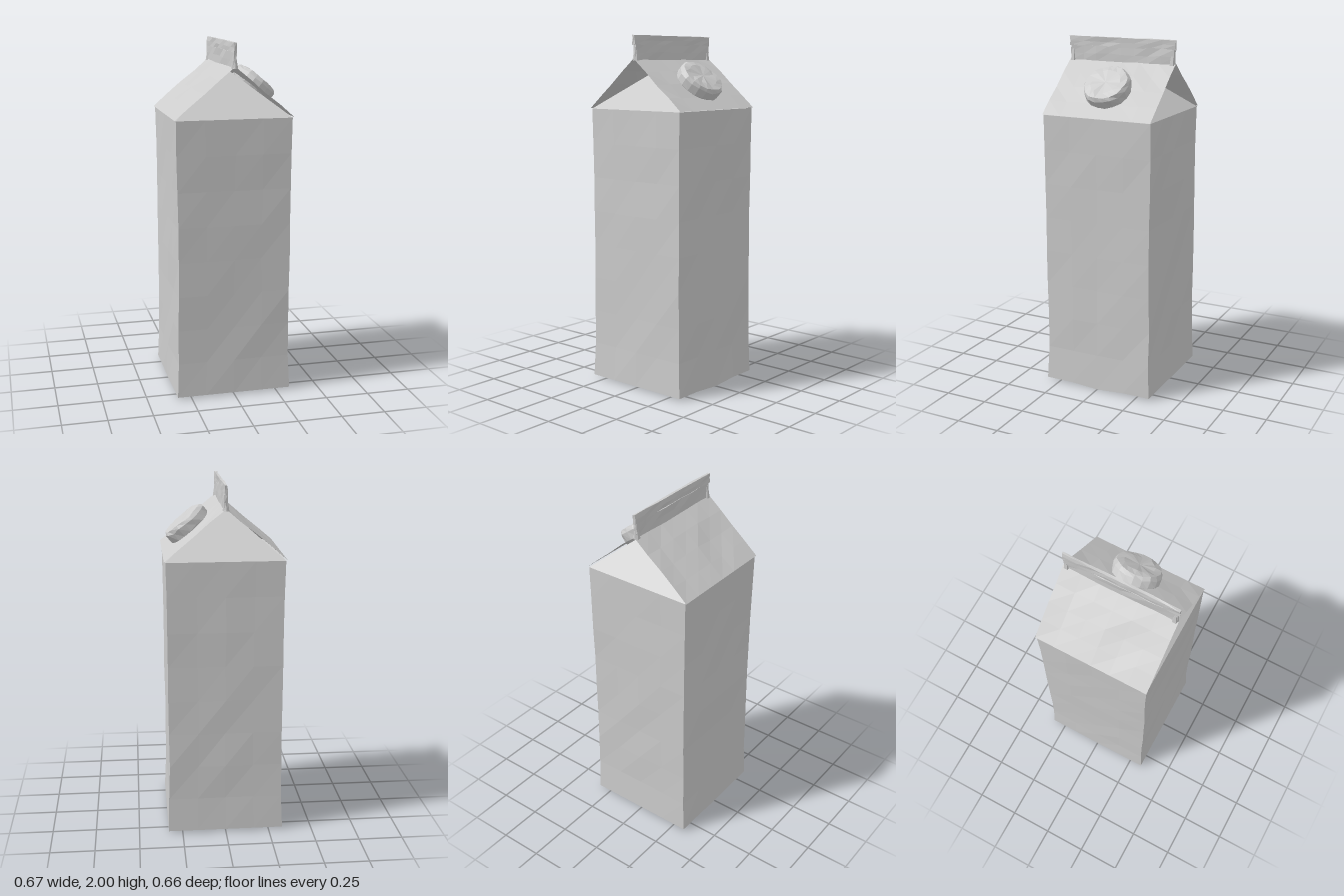
import * as THREE from 'three';

const card = new THREE.MeshStandardMaterial({ color: 0xcccccc, flatShading: true, side: THREE.DoubleSide });
card.name = 'plain grey card';

const EAVE = 1.59, RIDGE = 1.865, HALF = 0.325;

// Repeatable noise in -1..1 that depends only on position, so seams stay closed
function noise(x, y, z, seed) {
  const s = Math.sin(Math.round(x * 1000) * 12.9898 + Math.round(y * 1000) * 78.233
    + Math.round(z * 1000) * 37.719 + seed * 4.137) * 43758.5453;
  return (s - Math.floor(s)) * 2 - 1;
}

// Apply a rule to every vertex
function reshape(geometry, rule) {
  const p = geometry.attributes.position, v = new THREE.Vector3();
  for (let i = 0; i < p.count; i++) {
    v.fromBufferAttribute(p, i);
    rule(v);
    p.setXYZ(i, v.x, v.y, v.z);
  }
  geometry.computeVertexNormals();
  return geometry;
}

function crumple(geometry, ax, ay, az) {
  return reshape(geometry, v => {
    const { x, y, z } = v;
    v.x += ax * noise(x, y, z, 1);
    v.y += ay * noise(x, y, z, 2);
    v.z += az * noise(x, y, z, 3);
  });
}

export function createModel() {
  const carton = new THREE.Group();
  carton.name = 'carton';
  const add = (name, geometry) => {
    const mesh = new THREE.Mesh(geometry, card);
    mesh.name = name;
    carton.add(mesh);
    return mesh;
  };

  // Tall square body with slightly wavy card walls
  const height = EAVE - 0.012;
  const body = new THREE.BoxGeometry(2 * HALF, height, 2 * HALF, 4, 8, 4);
  body.translate(0, 0.012 + height / 2, 0);
  add('body', reshape(body, v => {
    const { x, y, z } = v;
    const t = (y - 0.012) / height;
    const wave = -0.006 * Math.sin(Math.PI * t);
    if (t > 0.01 && t < 0.99) {
      v.x += Math.sign(x) * wave + 0.003 * noise(x, y, z, 1);
      v.z += Math.sign(z) * wave * 0.5 + 0.003 * noise(x, y, z, 2);
    }
    if (t < 0.01) {
      v.x *= 1.015;
      v.z *= 1.015;
      if (Math.abs(z) < 0.01) v.y = x > 0.3 ? 0 : 0.006;
    }
  }));

  // Two sloping roof panels that reach the front and back edges
  for (const side of [-1, 1]) {
    const panel = new THREE.PlaneGeometry(1, 1, 4, 6);
    reshape(panel, v => {
      const t = v.x + 0.5, z = v.y * 2 * (HALF + 0.003);
      const inner = t > 0.01 && t < 0.99 ? 0.006 * noise(t, side, z, 5) : 0;
      v.set(side * (0.333 * (1 - t) + 0.004 * t), EAVE + (RIDGE - EAVE) * t + inner + 0.003, z);
    });
    add(side > 0 ? 'leftRoof' : 'rightRoof', panel);
  }

  // Gussets folded inwards under the roof at front and back
  for (const side of [-1, 1]) {
    const gusset = new THREE.BufferGeometry();
    const a = [-HALF, EAVE, side * HALF], b = [HALF, EAVE, side * HALF], c = [0, RIDGE - 0.01, side * 0.01];
    const corners = side > 0 ? [a, b, c] : [b, a, c];
    gusset.setAttribute('position', new THREE.Float32BufferAttribute(corners.flat(), 3));
    gusset.computeVertexNormals();
    add(side > 0 ? 'frontGusset' : 'backGusset', gusset);
  }

  // Upright sealed fin along the ridge: lower fold and pressed upper band
  const fold = new THREE.BoxGeometry(0.018, 0.085, 0.64, 1, 2, 8);
  fold.translate(0, 1.905, 0);
  add('finFold', crumple(fold, 0.003, 0.004, 0.002));
  const band = new THREE.BoxGeometry(0.014, 0.054, 0.655, 1, 2, 8);
  band.translate(0, 1.971, 0);
  add('finBand', crumple(band, 0.003, 0.002, 0.003));

  // Small thickened folds where the fin meets the gable ends
  for (const side of [-1, 1]) {
    const knot = new THREE.CylinderGeometry(0.009, 0.02, 0.07, 6);
    knot.translate(0, 1.895, side * 0.308);
    add(side > 0 ? 'frontFinEnd' : 'backFinEnd', knot);
  }

  // Round screw cap standing square to the left roof panel
  const profile = [[0, -0.045], [0.122, -0.045], [0.133, -0.025], [0.134, 0.02], [0.122, 0.04], [0.085, 0.043], [0, 0.039]];
  const cap = new THREE.LatheGeometry(profile.map(([r, y]) => new THREE.Vector2(r, y)), 18);
  const capMesh = add('cap', reshape(cap, v => {
    const { x, y, z } = v;
    if (Math.hypot(x, z) < 0.01) return;
    const k = 1 + 0.025 * noise(x, y, z, 7);
    v.x *= k;
    v.z *= k;
    v.y += 0.005 * noise(x, y, z, 8);
  }));
  capMesh.position.set(0.193, 1.748, -0.007);
  capMesh.rotation.z = -Math.atan2(RIDGE - EAVE, 0.329);

  return carton;
}
